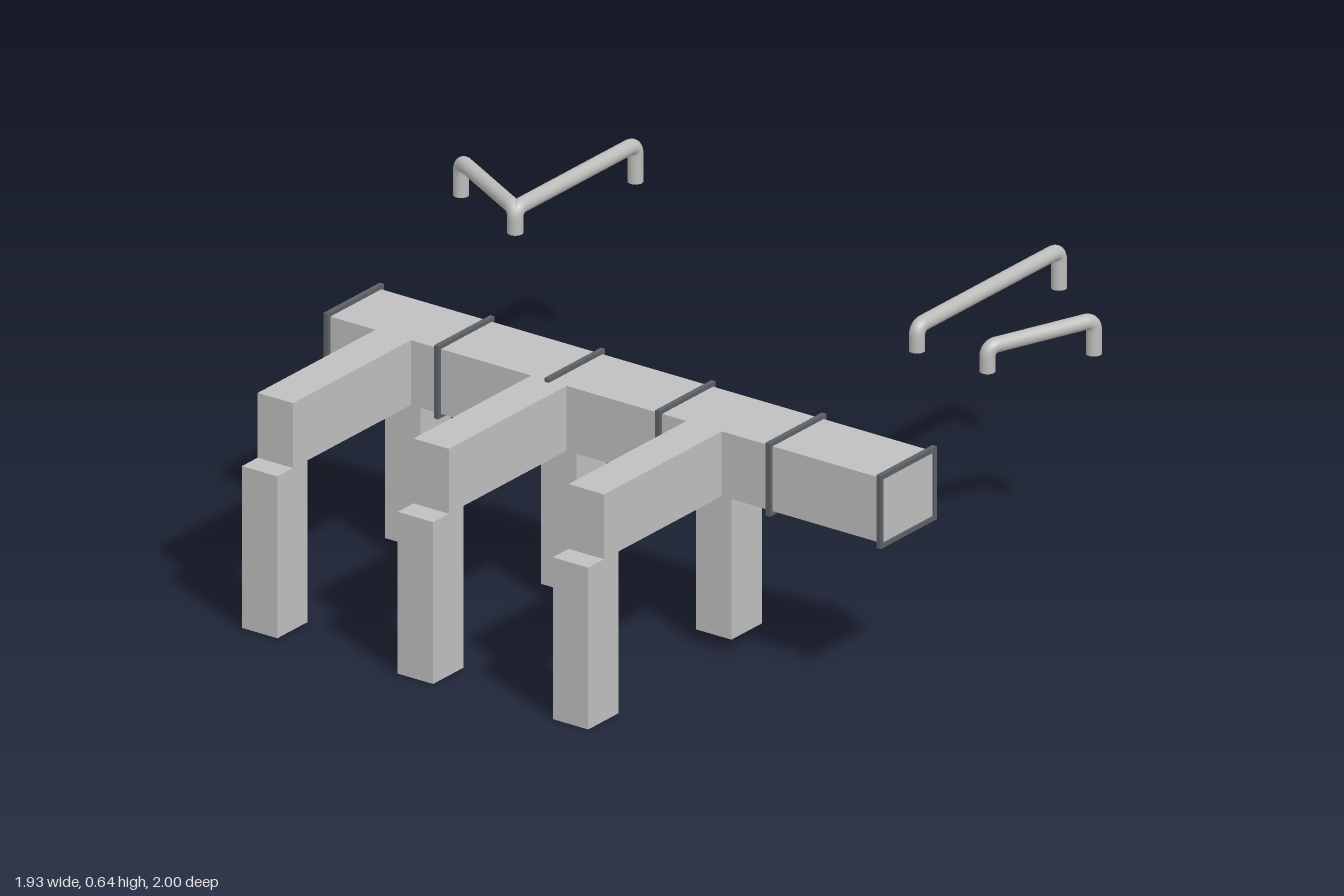
import * as THREE from 'three';

const sheetMetal = new THREE.MeshStandardMaterial({ name: 'sheetMetal', color: 0xbfbfbf });
const pipeMetal = new THREE.MeshStandardMaterial({ name: 'pipeMetal', color: 0xbcbcba });
const flangeMetal = new THREE.MeshStandardMaterial({ name: 'flangeMetal', color: 0x5c6266 });
const ventDark = new THREE.MeshStandardMaterial({ name: 'ventDark', color: 0x2a3534 });
const ventFrameDark = new THREE.MeshStandardMaterial({ name: 'ventFrameDark', color: 0x1e2323 });
const ventLight = new THREE.MeshStandardMaterial({ name: 'ventLight', color: 0x6f7a78 });

// Box given by its minimum and maximum corners
function box(name, mat, x0, x1, y0, y1, z0, z1) {
  const m = new THREE.Mesh(new THREE.BoxGeometry(x1 - x0, y1 - y0, z1 - z0), mat);
  m.name = name;
  m.position.set((x0 + x1) / 2, (y0 + y1) / 2, (z0 + z1) / 2);
  return m;
}

// Rectangular ring in the xy plane, extruded along z
function ring(w, h, border, depth) {
  const rect = (T, a, b) => {
    const s = new T();
    s.moveTo(-a, -b); s.lineTo(a, -b); s.lineTo(a, b); s.lineTo(-a, b); s.closePath();
    return s;
  };
  const shape = rect(THREE.Shape, w / 2, h / 2);
  shape.holes.push(rect(THREE.Path, w / 2 - border, h / 2 - border));
  const g = new THREE.ExtrudeGeometry(shape, { depth, bevelEnabled: false });
  g.translate(0, 0, -depth / 2);
  return g;
}

// Round pipe: horizontal run with both ends bent straight down
function pipe(name, x0, z0, x1, z1, yStart, yEnd) {
  const r = 0.02, bend = 0.028, top = 0.62;
  const a = new THREE.Vector3(x0, top, z0), b = new THREE.Vector3(x1, top, z1);
  const dir = b.clone().sub(a).normalize();
  const drop = new THREE.Vector3(0, -bend, 0);
  const a0 = a.clone().add(drop), a1 = a.clone().addScaledVector(dir, bend);
  const b0 = b.clone().addScaledVector(dir, -bend), b1 = b.clone().add(drop);
  const start = new THREE.Vector3(x0, yStart, z0), end = new THREE.Vector3(x1, yEnd, z1);
  const group = new THREE.Group();
  group.name = name;
  [
    new THREE.LineCurve3(start, a0),
    new THREE.QuadraticBezierCurve3(a0, a, a1),
    new THREE.LineCurve3(a1, b0),
    new THREE.QuadraticBezierCurve3(b0, b, b1),
    new THREE.LineCurve3(b1, end),
  ].forEach((curve, i) => {
    const m = new THREE.Mesh(new THREE.TubeGeometry(curve, i % 2 ? 10 : 1, r, 20), pipeMetal);
    m.name = i % 2 ? 'pipeElbow' : 'pipeRun';
    group.add(m);
  });
  for (const p of [start, end]) {
    const cap = new THREE.Mesh(new THREE.CircleGeometry(r, 20), pipeMetal);
    cap.name = 'pipeEnd';
    cap.rotation.x = Math.PI / 2;
    cap.position.copy(p);
    group.add(cap);
  }
  return group;
}

// Vent plate on the +x side of the duct
function vent(z) {
  const g = new THREE.Group();
  g.name = 'vent';
  g.position.set(-0.21, 0.517, z);
  g.add(box('ventPlate', ventDark, 0, 0.004, -0.044, 0.044, -0.06, 0.06));
  const frame = new THREE.Mesh(ring(0.124, 0.092, 0.008, 0.008), ventFrameDark);
  frame.name = 'ventFrame';
  frame.rotation.y = Math.PI / 2;
  frame.position.x = 0.004;
  g.add(frame);
  for (let i = -2; i <= 2; i++) {
    g.add(box('ventSlat', ventDark, 0.003, 0.007, i * 0.015 - 0.003, i * 0.015 + 0.003, -0.052, 0.052));
  }
  for (const s of [-1, 1]) {
    g.add(box('ventBar', ventLight, 0.003, 0.009, -0.018, 0.018, s * 0.034 - 0.0015, s * 0.034 + 0.0015));
  }
  return g;
}

export function createModel() {
  const model = new THREE.Group();
  model.name = 'ductwork';

  // Main duct with flanges and vents
  model.add(box('mainDuct', sheetMetal, -0.42, -0.21, 0.432, 0.605, -0.696, 0.996));
  const flangeGeo = ring(0.232, 0.195, 0.0125, 0.013);
  for (let i = 0; i < 6; i++) {
    const flange = new THREE.Mesh(flangeGeo, flangeMetal);
    flange.name = 'flange';
    flange.position.set(-0.315, 0.518, -0.693 + i * 0.3372);
    model.add(flange);
    if (i < 5) model.add(vent(-0.525 + i * 0.3385));
  }

  // Side branches with inner and outer drops
  for (const z of [-0.495, -0.02, 0.453]) {
    const z0 = z - 0.054, z1 = z + 0.054;
    model.add(
      box('branchDuct', sheetMetal, -0.905, -0.42, 0.432, 0.605, z0, z1),
      box('outerDrop', sheetMetal, -0.97, -0.845, 0, 0.432, z0, z1),
      box('innerDrop', sheetMetal, -0.38, -0.255, 0.035, 0.432, z0, z1),
    );
  }

  // Separate pipes
  model.add(
    pipe('rearLongPipe', 0.36, -0.70, 0.855, -0.70, 0.555, 0.52),
    pipe('rearSlantedPipe', 0.36, -0.70, 0.515, -0.98, 0.555, 0.53),
    pipe('frontLongPipe', 0.36, 0.525, 0.945, 0.525, 0.555, 0.52),
    pipe('frontSlantedPipe', 0.36, 0.74, 0.65, 0.85, 0.555, 0.53),
  );
  return model;
}
